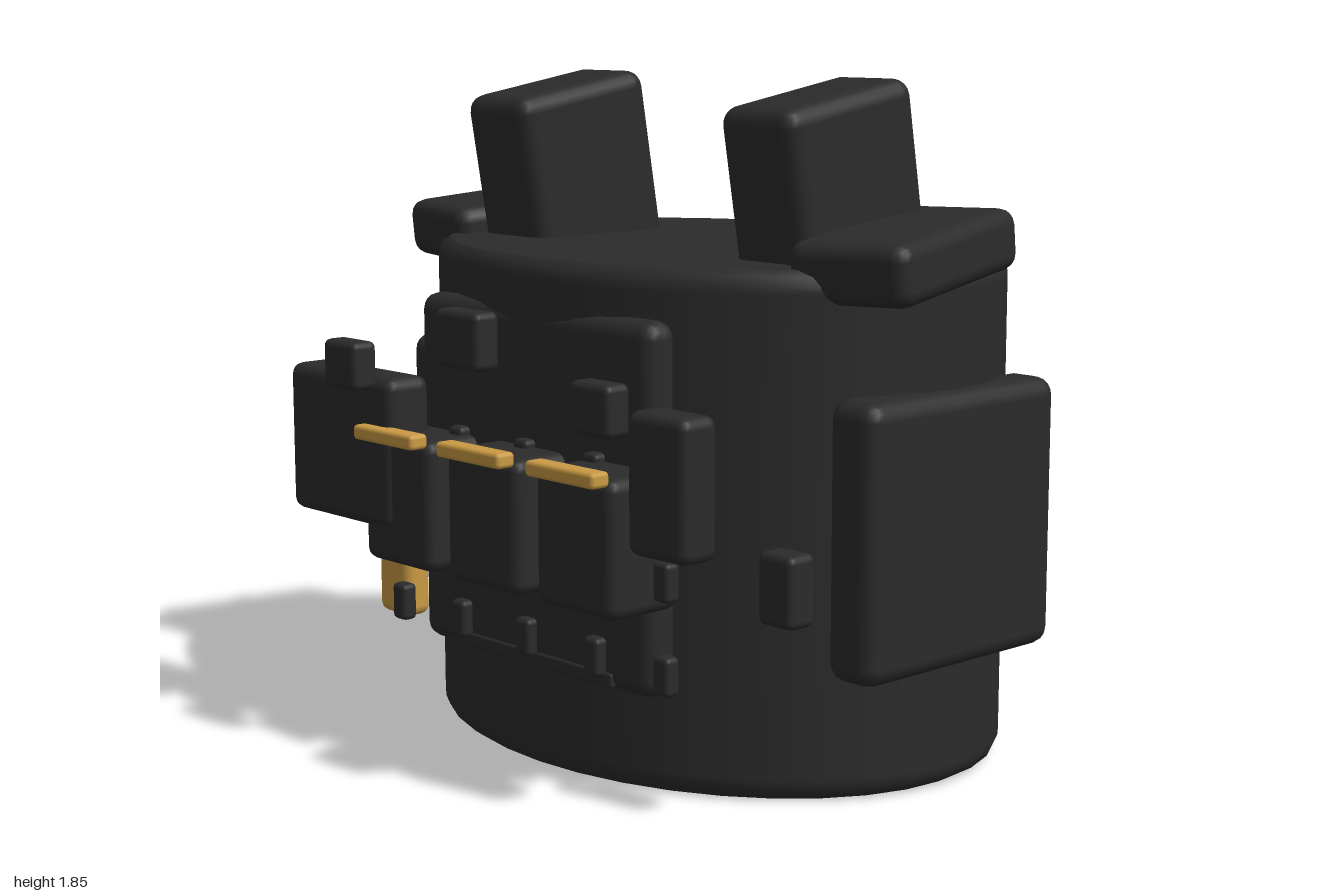
import * as THREE from 'three';
import { RoundedBoxGeometry } from 'three/addons/geometries/RoundedBoxGeometry.js';

export function createModel() {
  const model = new THREE.Group();
  model.name = 'tacticalVest';
  const fabric = new THREE.MeshStandardMaterial({ color: 0x2b2b2b });
  fabric.name = 'black fabric';
  const brass = new THREE.MeshStandardMaterial({ color: 0xc99a44 });
  brass.name = 'brass';

  // Soft-edged box given by its ranges along x, y and z
  function block(name, [x0, x1], [y0, y1], [z0, z1], radius, material = fabric) {
    const w = x1 - x0, h = y1 - y0, d = z1 - z0;
    const r = Math.min(radius, Math.min(w, h, d) * 0.45);
    const mesh = new THREE.Mesh(new RoundedBoxGeometry(w, h, d, 2, r), material);
    mesh.name = name;
    mesh.position.set((x0 + x1) / 2, (y0 + y1) / 2, (z0 + z1) / 2);
    model.add(mesh);
    return mesh;
  }
  const around = (c, size) => [c - size / 2, c + size / 2];

  // Oval torso with a small bevel at the rims
  const profile = [[0, 0], [0.95, 0], [0.955, 0.001], [0.985, 0.016], [0.998, 0.04], [1, 0.06],
    [1, 1.325], [0.998, 1.345], [0.985, 1.369], [0.955, 1.384], [0.95, 1.385], [0, 1.385]]
    .map(([r, y]) => new THREE.Vector2(r, y));
  const torso = new THREE.Mesh(new THREE.LatheGeometry(profile, 36).scale(0.905, 1, 0.69), fabric);
  torso.name = 'torso';
  torso.position.z = -0.12;
  model.add(torso);

  // Armour plates
  block('frontPlate', [-0.48, 0.48], [0.27, 1.255], [0.46, 0.567], 0.05);
  block('backPlate', [-0.46, 0.46], [0.3, 1.22], [-0.81, -0.71], 0.05);

  for (const s of [-1, 1]) {
    block('sidePlate', around(s * 0.865, 0.165), [0.33, 1.065], [-0.49, 0.245], 0.05);

    const strap = block('shoulderStrap', around(s * 0.525, 0.275), [1.225, 1.825], [-0.27, 0.21], 0.05);
    strap.rotation.x = 0.17;

    const pad = block('shoulderPad', around(s * 0.77, 0.355), [1.322, 1.488], [-0.37, 0.24], 0.045);
    pad.rotation.set(0.1, s * 0.21, 0);

    block('sideBuckle', around(s * 0.89, 0.12), [0.54, 0.725], [0.445, 0.535], 0.02);
    block('strapBuckle', around(s * 0.52, 0.15), [1.0, 1.135], [0.73, 0.81], 0.02);
  }
  block('chestBuckle', [-0.09, 0.09], [1.11, 1.265], [0.73, 0.81], 0.02);

  // Magazine pouches with brass tops
  for (const x of [-0.37, 0, 0.37]) {
    block('magazinePouch', around(x, 0.305), [0.515, 0.88], [0.495, 0.735], 0.035);
    block('magazineTop', around(x, 0.265), [0.86, 0.902], [0.72, 0.78], 0.012, brass);
  }

  // Utility pouches, radio and brass canister
  block('utilityPouch', [-0.86, -0.375], [0.61, 1.035], [0.6, 0.745], 0.035);
  block('radioPouch', [0.565, 0.78], [0.7, 1.065], [0.61, 0.73], 0.03);
  block('brassCanister', [-0.908, -0.755], [0.24, 0.545], [0.32, 0.41], 0.03, brass);

  // Webbing bands and their loops
  for (const y of [0.3, 0.515, 0.73])
    block('webbingBand', [-0.335, 0.335], around(y, 0.042), [0.53, 0.573], 0.01);
  for (const y of [0.36, 0.605, 0.85])
    for (const x of [-0.55, -0.28, 0, 0.28, 0.55])
      block('webbingLoop', around(x, 0.06), around(y, 0.105), [0.552, 0.6], 0.015);

  return model;
}
